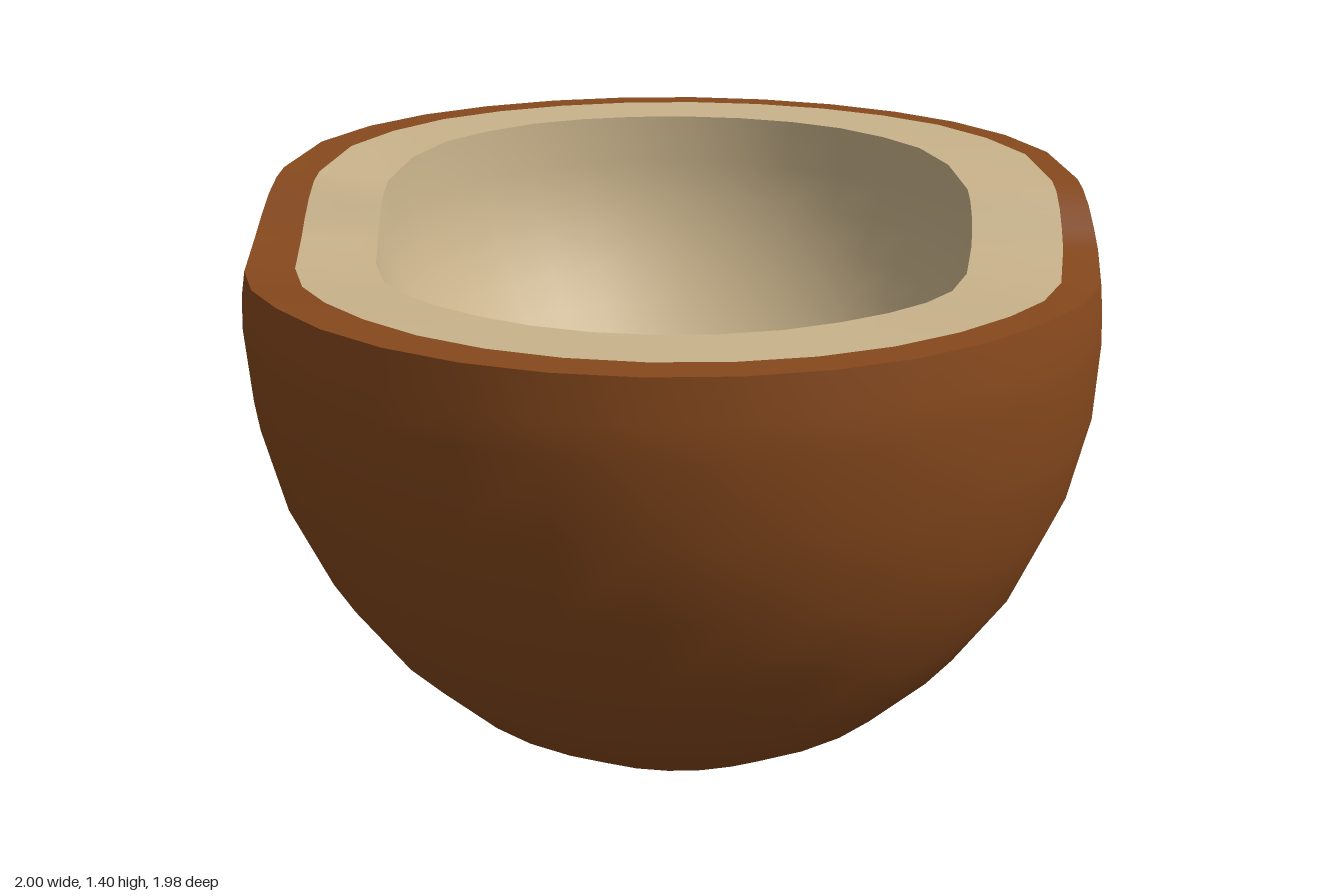
import * as THREE from 'three';
import { mergeVertices } from 'three/addons/utils/BufferGeometryUtils.js';

// Height of the broken rim by depth: [z, y]
const RIM = [[-1, 1.385], [-0.6, 1.4], [-0.35, 1.4], [-0.18, 1.38], [-0.12, 1.36],
  [-0.05, 1.303], [0, 1.264], [0.06, 1.25], [0.2, 1.235], [0.55, 1.265], [1, 1.28]];

function rimY(z) {
  for (let i = 1; i < RIM.length; i++) {
    const [z0, y0] = RIM[i - 1], [z1, y1] = RIM[i];
    if (z <= z1) return THREE.MathUtils.mapLinear(z, z0, z1, y0, y1);
  }
  return RIM[RIM.length - 1][1];
}

// Angles round the shell, with extra steps where the rim drops
const angles = [];
for (let i = 0; i < 32; i++) angles.push(i / 32 * Math.PI * 2);
for (const d of [0.05, 0.1, 0.15]) angles.push(Math.PI + d, Math.PI * 2 - d);
angles.sort((a, b) => a - b);

// Rim point on a ring of the given radius
const rimPoint = (r, a) => [r, rimY(r * Math.sin(a))];

// Outer edge of the rim, curving in slightly as it rises
function outerEdge(a) {
  const y = rimY(0.975 * Math.sin(a));
  return [THREE.MathUtils.mapLinear(y, 1.25, 1.385, 0.985, 0.965), y];
}

// Line where husk meets flesh, a little off centre
const fleshEdge = (a) => rimPoint(0.888 + 0.015 * Math.cos(a) - 0.006 * Math.sin(a), a);

// Hollow: a hemisphere centred just below the highest part of the rim
const BOWL_R = 0.7, BOWL_Y = 1.37;
function bowlProfile(a) {
  const y = rimY(BOWL_R * Math.sin(a));
  const start = Math.asin(Math.max(0, BOWL_Y - y) / BOWL_R);
  const points = [[BOWL_R * Math.cos(start), y]];
  for (let i = 1; i <= 12; i++) {
    const t = THREE.MathUtils.lerp(start, Math.PI / 2, i / 12);
    points.push([i === 12 ? 0 : BOWL_R * Math.cos(t), BOWL_Y - BOWL_R * Math.sin(t)]);
  }
  return points;
}

// Sweeps a profile of [radius, y] points that may vary with the angle;
// the base drifts slightly to the front and left
function sweep(profile) {
  const pos = [], index = [];
  const n = angles.length, m = profile(0).length;
  for (const a of angles) {
    for (const [r, y] of profile(a)) {
      const drift = Math.max(0, 1 - y / 1.1);
      pos.push(r * Math.cos(a) + 0.015 * drift, y, 0.99 * r * Math.sin(a) - 0.003 + 0.024 * drift);
    }
  }
  for (let i = 0; i < n; i++) {
    for (let j = 0; j < m - 1; j++) {
      const a = i * m + j, b = ((i + 1) % n) * m + j;
      index.push(a, a + 1, b, b, a + 1, b + 1);
    }
  }
  const geo = new THREE.BufferGeometry();
  geo.setAttribute('position', new THREE.Float32BufferAttribute(pos, 3));
  geo.setIndex(index);
  const merged = mergeVertices(geo);
  merged.computeVertexNormals();
  return merged;
}

export function createModel() {
  const husk = new THREE.MeshStandardMaterial({ color: 0x87491d });
  husk.name = 'brown husk';
  const flesh = new THREE.MeshStandardMaterial({ color: 0xc9b38b });
  flesh.name = 'cream flesh';

  const group = new THREE.Group();
  group.name = 'halfShell';
  const add = (name, profile, material) => {
    const mesh = new THREE.Mesh(sweep(profile), material);
    mesh.name = name;
    group.add(mesh);
  };

  // Rounded outside
  const outer = [[0, 0], [0.1, 0.008], [0.2, 0.028], [0.39, 0.094], [0.565, 0.198], [0.717, 0.343],
    [0.845, 0.52], [0.937, 0.72], [0.987, 0.92], [1, 1.1], [0.996, 1.18]];
  add('outerShell', (a) => [...outer, outerEdge(a)], husk);

  // Broken edge: husk ring, then flesh ring
  add('huskRim', (a) => [outerEdge(a), fleshEdge(a)], husk);
  add('fleshRim', (a) => [fleshEdge(a), rimPoint(0.79, a), bowlProfile(a)[0]], flesh);

  // Hollow inside
  add('innerBowl', bowlProfile, flesh);

  return group;
}
